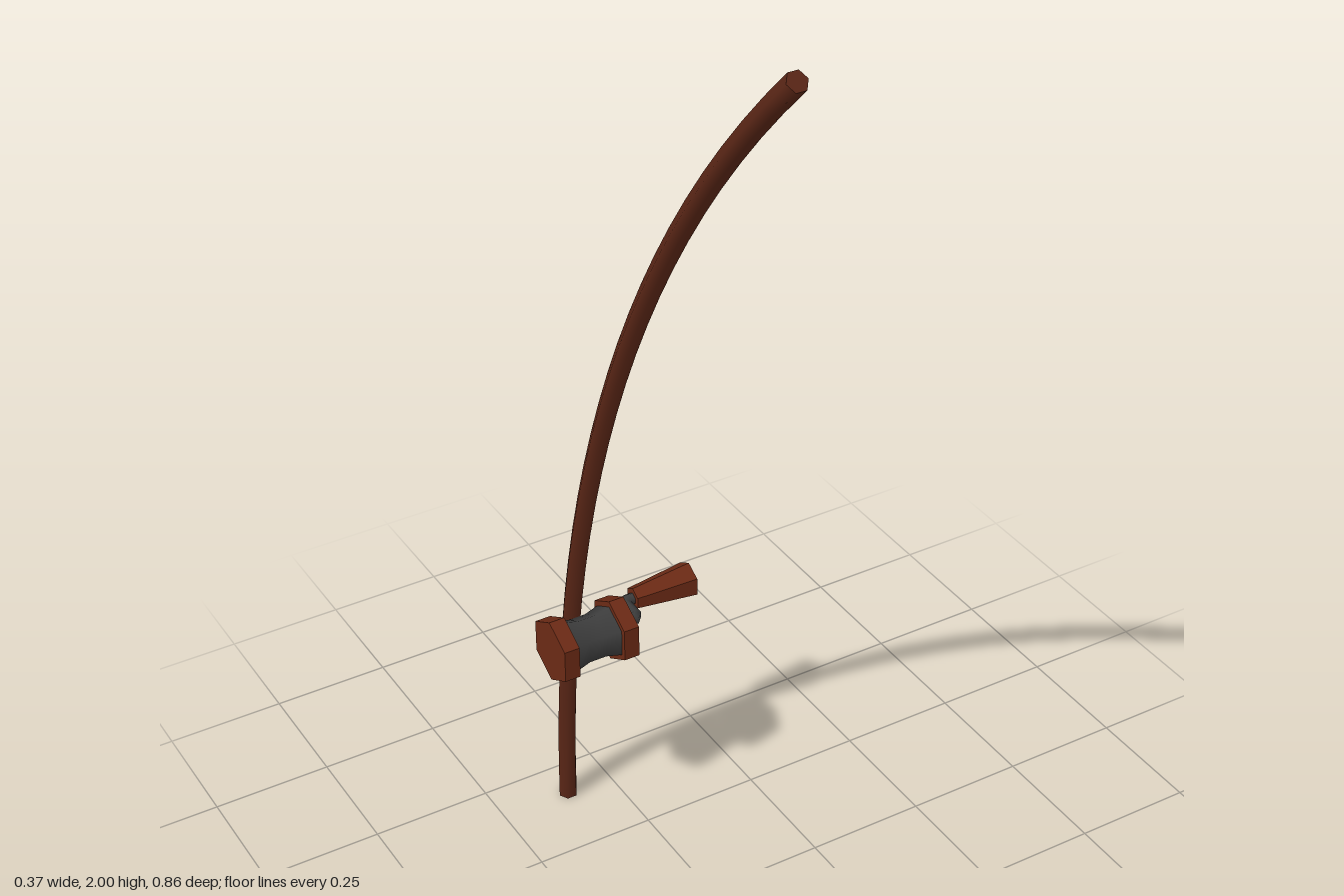
import * as THREE from 'three';

const wood = new THREE.MeshStandardMaterial({ color: 0x5a2616 });
const reelWood = new THREE.MeshStandardMaterial({ color: 0x6b2a15, flatShading: true });
const metal = new THREE.MeshStandardMaterial({ color: 0x3d3d3d });
const SIDES = 6;

// Capped six-sided bar along a planar path, mitred at each bend; b is the normal of that plane
function sweep(points, b, radius) {
  const pos = [], index = [];
  const last = points.length - 1;
  const dir = (i) => points[i + 1].clone().sub(points[i]).normalize();
  const ring = (i) => {
    const before = dir(Math.max(i - 1, 0));
    const t = before.clone().add(dir(Math.min(i, last - 1))).normalize();
    const n = t.clone().cross(b).divideScalar(t.dot(before));
    for (let j = 0; j < SIDES; j++) {
      const a = (j / SIDES) * Math.PI * 2;
      const p = points[i].clone()
        .addScaledVector(b, radius * Math.cos(a))
        .addScaledVector(n, radius * Math.sin(a));
      pos.push(p.x, p.y, p.z);
    }
  };
  points.forEach((p, i) => ring(i));
  for (let i = 0; i < last; i++) {
    for (let j = 0; j < SIDES; j++) {
      const k = (j + 1) % SIDES;
      const p = i * SIDES + j, q = i * SIDES + k;
      index.push(p, q, q + SIDES, p, q + SIDES, p + SIDES);
    }
  }
  // End caps on their own vertices
  const start = pos.length / 3, end = start + SIDES;
  ring(0);
  ring(last);
  for (let j = 1; j < SIDES - 1; j++) {
    index.push(start, start + j + 1, start + j, end, end + j, end + j + 1);
  }
  const g = new THREE.BufferGeometry();
  g.setAttribute('position', new THREE.Float32BufferAttribute(pos, 3));
  g.setIndex(index);
  g.computeVertexNormals();
  return g;
}

// Six-sided drum lying along x, one corner pointing up
function hexDrum(rLeft, rRight, length) {
  return new THREE.CylinderGeometry(rLeft, rRight, length, SIDES, 1, false, Math.PI / 2)
    .rotateZ(-Math.PI / 2);
}

export function createModel() {
  const model = new THREE.Group();
  const add = (name, geometry, material, x = 0, y = 0, z = 0) => {
    const mesh = new THREE.Mesh(geometry, material);
    mesh.name = name;
    mesh.position.set(x, y, z);
    model.add(mesh);
  };

  // Rod: circular arc rising from vertical and leaning forward
  const R = 2.794, sweepAngle = 0.7906, steps = 24;
  const arc = [];
  for (let i = 0; i <= steps; i++) {
    const a = (i / steps) * sweepAngle;
    arc.push(new THREE.Vector3(-0.1, R * Math.sin(a), -0.413 + R * (1 - Math.cos(a))));
  }
  add('rod', sweep(arc, new THREE.Vector3(1, 0, 0), 0.02), wood);

  // Reel: waisted spool between two hexagonal flanges
  const reelY = 0.477, reelZ = -0.305;
  const profile = [[0.058, -0.052], [0.049, -0.018], [0.049, 0.018], [0.058, 0.052]]
    .map(([r, h]) => new THREE.Vector2(r, h));
  const spool = new THREE.LatheGeometry(profile, SIDES, Math.PI / 2).rotateZ(-Math.PI / 2);
  add('spool', spool, metal, -0.1, reelY, reelZ);
  for (const [name, side] of [['leftFlange', 1], ['rightFlange', -1]]) {
    add(name, hexDrum(0.07, 0.07, 0.033), reelWood, -0.1 + side * 0.0665, reelY, reelZ);
  }

  // Crank: bent bar leaving the left flange
  const crank = [[-0.03, -0.327], [0.018, -0.327], [0.027, -0.337], [0.027, -0.378], [0.038, -0.388], [0.06, -0.388]]
    .map(([x, z]) => new THREE.Vector3(x, 0.465, z));
  add('crank', sweep(crank, new THREE.Vector3(0, 1, 0), 0.0125), metal);

  // Grip: hexagonal handle flaring outwards
  add('grip', hexDrum(0.039, 0.024, 0.132), reelWood, 0.116, 0.465, -0.388);

  return model;
}
